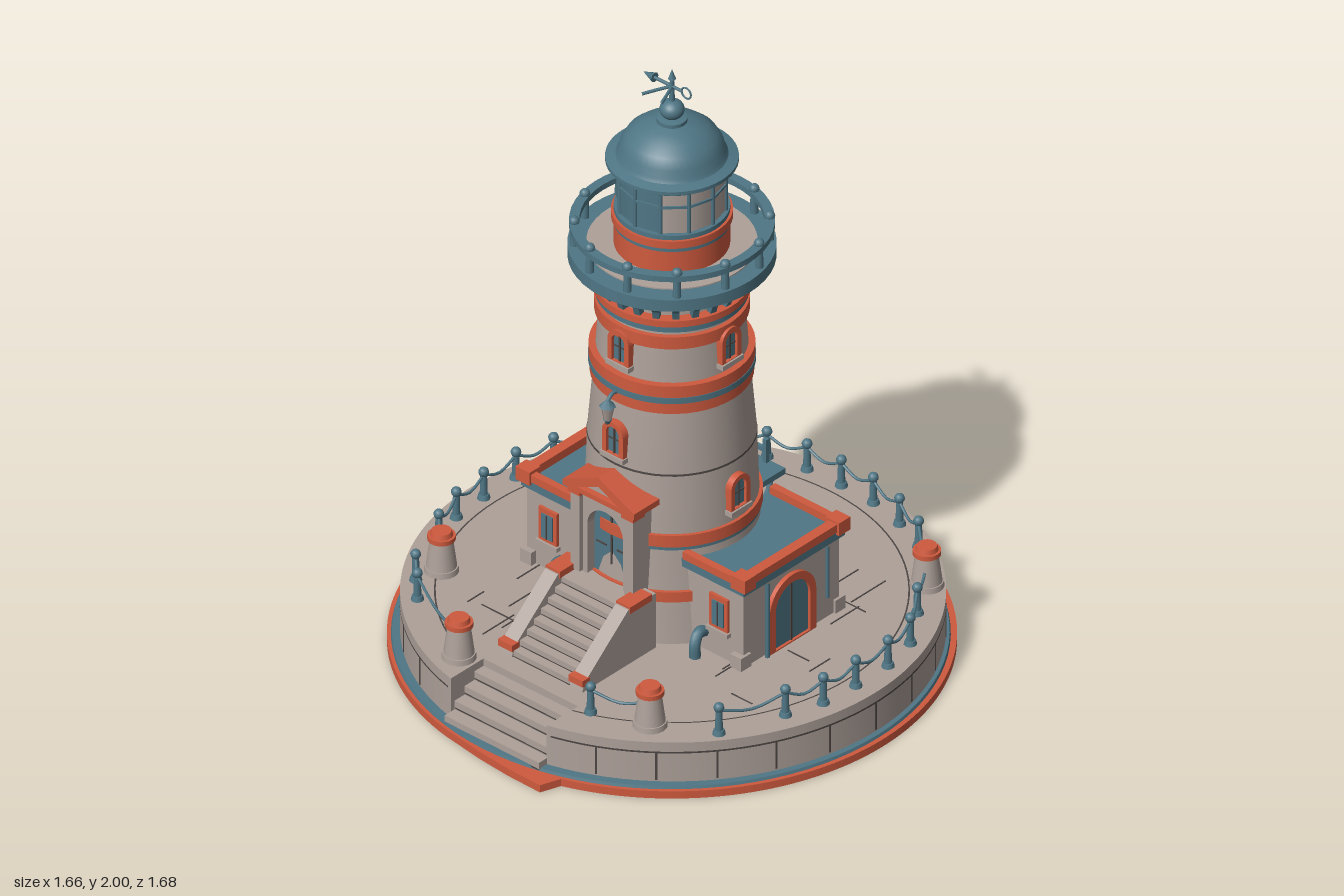
import * as THREE from 'three';
import { toCreasedNormals } from 'three/addons/utils/BufferGeometryUtils.js';

const material = (name, color) => Object.assign(new THREE.MeshStandardMaterial({ color }), { name });

export function createModel() {
  const stone = material('stone', 0xada099), red = material('brick red', 0xcf5a3e);
  const teal = material('teal metal', 0x4f7685), dark = material('dark joint', 0x4c4643);
  const model = new THREE.Group();
  const TAU = Math.PI * 2, FLOOR = 0.17;

  // helpers
  const add = (parent, name, geo, mat, x = 0, y = 0, z = 0) => {
    const m = new THREE.Mesh(geo, mat);
    m.name = name;
    m.position.set(x, y, z);
    parent.add(m);
    return m;
  };
  const group = (parent, name, x = 0, y = 0, z = 0, ry = 0) => {
    const g = new THREE.Group();
    g.name = name;
    g.position.set(x, y, z);
    g.rotation.y = ry;
    parent.add(g);
    return g;
  };
  // box from min to max corners
  const box = (p, name, mat, x0, x1, y0, y1, z0, z1) =>
    add(p, name, new THREE.BoxGeometry(x1 - x0, y1 - y0, z1 - z0), mat, (x0 + x1) / 2, (y0 + y1) / 2, (z0 + z1) / 2);
  const cyl = (p, name, mat, rBottom, rTop, y0, y1, x = 0, z = 0, seg = 48) =>
    add(p, name, new THREE.CylinderGeometry(rTop, rBottom, y1 - y0, seg), mat, x, (y0 + y1) / 2, z);
  const lathe = (p, name, mat, pts, seg = 48) =>
    add(p, name, toCreasedNormals(new THREE.LatheGeometry(pts.map(a => new THREE.Vector2(...a)), seg), 0.6), mat);
  const extrude = (shape, depth) => new THREE.ExtrudeGeometry(shape, { depth, bevelEnabled: false, curveSegments: 12 });
  const poly = pts => new THREE.Shape(pts.map(a => new THREE.Vector2(...a)));
  const tube = (p, name, mat, pts, r, seg = 12) =>
    add(p, name, new THREE.TubeGeometry(new THREE.CatmullRomCurve3(pts.map(a => new THREE.Vector3(...a))), seg, r, 8), mat);
  const slab = (shape, depth) =>
    new THREE.ExtrudeGeometry(shape, { depth, bevelEnabled: false, curveSegments: 80 }).rotateX(-Math.PI / 2);
  const arch = (w, h, y = 0, Type = THREE.Shape) => {
    const s = new Type();
    s.moveTo(-w / 2, y);
    s.lineTo(w / 2, y);
    s.lineTo(w / 2, h - w / 2);
    s.absarc(0, h - w / 2, w / 2, 0, Math.PI, false);
    s.lineTo(-w / 2, y);
    return s;
  };
  // arched opening facing +z, with its wall plane at z = 0
  const archedOpening = (p, name, w, h, frame, depth) => {
    const outer = arch(w + 2 * frame, h + frame);
    outer.holes.push(arch(w, h, 0.004, THREE.Path));
    add(p, name + 'Frame', extrude(outer, depth + 0.03), red, 0, 0, -0.03);
    add(p, name + 'Pane', extrude(arch(w, h), 0.035), teal, 0, 0, -0.03);
    box(p, name + 'Mullion', dark, -0.003, 0.003, 0.004, h - 0.004, 0.004, 0.009);
  };

  // island base
  const foot = new THREE.Shape();
  foot.absarc(0, 0.01, 0.83, -1.235, 4.53, false);
  [[0, -0.828], [0.12, -0.838], [0.25, -0.84]].forEach(a => foot.lineTo(...a));
  add(model, 'redFooting', slab(foot, 0.025), red);
  cyl(model, 'tealPlinth', teal, 0.815, 0.812, 0.025, 0.034, 0, -0.005, 96);
  const platform = new THREE.Shape();
  platform.absarc(0, 0.015, 0.795, -1.317, 4.496, false);
  platform.lineTo(-0.17, -0.62);
  platform.lineTo(0.2, -0.62);
  add(model, 'platform', toCreasedNormals(slab(platform, FLOOR - 0.034), 0.5), stone, 0, 0.034, 0);
  const rim = add(model, 'rimJoint', new THREE.CylinderGeometry(0.797, 0.797, 0.006, 96, 1, true, 0.27, TAU - 0.5), dark, 0, 0.136, -0.015);
  rim.name = 'rimJoint';
  for (let i = 2; i < 27; i++) {
    const g = group(model, 'wallJoint', 0, 0, -0.015, i / 28 * TAU);
    box(g, 'joint', dark, -0.003, 0.003, 0.04, 0.136, 0.79, 0.797);
  }
  add(model, 'pavingRing', new THREE.RingGeometry(0.688, 0.693, 96, 1, -1.27, TAU - 0.56).rotateX(-Math.PI / 2), dark, 0, FLOOR + 0.002, -0.01);

  // paving joints
  let seed = 7;
  const rand = () => (seed = (seed * 16807) % 2147483647) / 2147483647;
  for (let i = 0; i < 44; i++) {
    const a = rand() * TAU, r = 0.34 + rand() * 0.26, l = 0.03 + rand() * 0.05;
    const x = Math.cos(a) * r, z = Math.sin(a) * r - 0.01, along = i % 2;
    if (Math.abs(x) < 0.18 && z > 0.2) continue;
    box(model, 'pavingJoint', dark, x - (along ? l : 0.002), x + (along ? l : 0.002), FLOOR - 0.002, FLOOR + 0.002,
      z - (along ? 0.002 : l), z + (along ? 0.002 : l));
  }

  // lower steps set into the platform
  for (let i = 0; i < 4; i++) {
    const y = 0.145 - i * 0.03, z = 0.66 + i * 0.043;
    box(model, 'lowerStep', stone, -0.17, 0.2, 0.03, y, 0.6, z);
    box(model, 'lowerStepJoint', dark, -0.168, 0.198, y - 0.026, y - 0.022, z - 0.01, z + 0.001);
  }

  // entrance stairs
  for (let i = 0; i < 8; i++) {
    const y = FLOOR + 0.022 * (i + 1), z = 0.555 - i * 0.03;
    box(model, 'stairStep', stone, -0.112, 0.112, FLOOR, y, 0.24, z);
    box(model, 'stairJoint', dark, -0.11, 0.11, y - 0.021, y - 0.018, z - 0.01, z + 0.001);
  }
  const cheek = poly([[-0.24, FLOOR], [-0.24, 0.36], [-0.36, 0.36], [-0.55, 0.2], [-0.56, FLOOR]].reverse());
  for (const s of [-1, 1]) {
    add(model, 'stairCheek', extrude(cheek, 0.05).rotateY(Math.PI / 2), stone, s * 0.138 - 0.025, 0, 0);
    box(model, 'cheekTopCap', red, s * 0.138 - 0.028, s * 0.138 + 0.028, 0.345, 0.368, 0.26, 0.355);
    box(model, 'cheekFootCap', red, s * 0.138 - 0.028, s * 0.138 + 0.028, 0.19, 0.212, 0.53, 0.562);
  }

  // door portal
  const portal = poly([[-0.12, 0.34], [0.12, 0.34], [0.12, 0.65], [-0.12, 0.65]]);
  const portalHole = arch(0.14, 0.59, 0.345, THREE.Path);
  portal.holes.push(portalHole);
  add(model, 'portalWall', extrude(portal, 0.1), stone, 0, 0, 0.18);
  add(model, 'portalDoor', extrude(arch(0.145, 0.592, 0.34), 0.03), teal, 0, 0, 0.22);
  box(model, 'doorSeam', dark, -0.003, 0.003, 0.35, 0.58, 0.25, 0.253);
  for (const s of [-1, 1]) {
    box(model, 'portalPillar', stone, s * 0.105 - 0.018, s * 0.105 + 0.018, 0.35, 0.62, 0.26, 0.295);
    box(model, 'pillarCap', red, s * 0.105 - 0.024, s * 0.105 + 0.024, 0.62, 0.645, 0.25, 0.302);
    box(model, 'doorHinge', dark, s * 0.04 - 0.02, s * 0.04 + 0.02, 0.45, 0.455, 0.25, 0.253);
  }
  const gable = poly([[-0.14, 0.64], [0.14, 0.64], [0.14, 0.66], [0, 0.725], [-0.14, 0.66]]);
  gable.holes.push(new THREE.Path([[-0.08, 0.657], [0, 0.695], [0.08, 0.657]].map(a => new THREE.Vector2(...a))));
  add(model, 'pediment', extrude(gable, 0.11), red, 0, 0, 0.2);
  add(model, 'pedimentPanel', extrude(poly([[-0.1, 0.65], [0.1, 0.65], [0, 0.7]]), 0.09), stone, 0, 0, 0.2);

  // side annexes, mirrored
  for (const s of [-1, 1]) {
    const a = group(model, 'annex');
    const sx = (name, mat, x0, x1, ...r) => box(a, name, mat, Math.min(s * x0, s * x1), Math.max(s * x0, s * x1), ...r);
    sx('annexWall', stone, 0.15, 0.425, FLOOR, 0.44, -0.265, 0.15);
    sx('annexCornice', teal, 0.15, 0.437, 0.43, 0.46, -0.277, 0.162);
    sx('outerParapet', red, 0.408, 0.442, 0.46, 0.488, -0.28, 0.166);
    sx('frontParapet', red, 0.2, 0.442, 0.46, 0.485, 0.142, 0.166);
    sx('backParapet', red, 0.16, 0.442, 0.46, 0.485, -0.28, -0.256);
    for (const z of [-0.262, 0.148]) {
      sx('parapetCorner', red, 0.395, 0.45, 0.45, 0.495, z - 0.024, z + 0.024);
      sx('cornerFoot', stone, 0.39, 0.434, FLOOR, 0.215, z - 0.022, z + 0.022);
    }
    // arched door on the outer wall
    archedOpening(group(a, 'annexDoor', s * 0.425, FLOOR, -0.05, s * Math.PI / 2), 'annexDoor', 0.15, 0.21, 0.026, 0.014);
    // square windows front and back
    for (const [z, ry] of [[0.15, 0], [-0.265, Math.PI]]) {
      const w = group(a, 'annexWindow', s * 0.335, 0, z, ry);
      box(w, 'windowFrame', red, -0.036, 0.036, 0.27, 0.385, -0.01, 0.01);
      box(w, 'windowPane', teal, -0.022, 0.022, 0.285, 0.368, 0.005, 0.014);
      box(w, 'windowBar', dark, -0.002, 0.002, 0.285, 0.368, 0.014, 0.016);
      box(w, 'windowSill', stone, -0.042, 0.042, 0.258, 0.272, -0.01, 0.018);
    }
    // wall lamp post and drain pipes
    tube(a, 'wallPipe', teal, [[s * 0.438, FLOOR, 0.06], [s * 0.438, 0.3, 0.06], [s * 0.438, 0.43, 0.06]], 0.007);
    tube(a, 'wallPipe', teal, [[s * 0.438, 0.25, -0.2], [s * 0.438, 0.35, -0.2], [s * 0.438, 0.43, -0.2]], 0.006);
    tube(a, 'frontPipe', teal, [[s * 0.27, 0.23, 0.14], [s * 0.275, 0.24, 0.18], [s * 0.28, 0.215, 0.2], [s * 0.28, FLOOR, 0.2]], 0.018);
    tube(a, 'backPipe', teal, [[s * 0.14, 0.23, -0.24], [s * 0.145, 0.24, -0.3], [s * 0.15, 0.225, -0.34], [s * 0.15, FLOOR, -0.35]], 0.018);
    cyl(a, 'pipeFlange', teal, 0.027, 0.027, 0.2, 0.215, s * 0.15, -0.345, 16);
  }

  // tower shaft with bands
  const tower = group(model, 'tower', 0, 0, -0.01);
  lathe(tower, 'towerShaft', stone, [[0.278, FLOOR], [0.256, 0.5], [0.248, 0.74], [0.226, 1.0], [0.21, 1.24]]);
  cyl(tower, 'shaftJoint', dark, 0.2495, 0.249, 0.738, 0.744);
  for (const [name, mat, r, y0, y1] of [
    ['lowBand', red, 0.277, 0.315, 0.35], ['waistBand', red, 0.265, 0.5, 0.54], ['waistTrim', teal, 0.262, 0.488, 0.5],
    ['midBandLower', red, 0.24, 0.952, 0.99], ['midBandTrim', teal, 0.245, 0.99, 1.01], ['midBandUpper', red, 0.243, 1.01, 1.05],
    ['upperBand', red, 0.227, 1.17, 1.212], ['neckTrim', teal, 0.225, 1.228, 1.25], ['neckBand', red, 0.232, 1.25, 1.272],
    ['galleryNeck', stone, 0.2, 1.27, 1.36], ['gallerySlab', teal, 0.305, 1.355, 1.395], ['galleryFloor', stone, 0.25, 1.39, 1.399],
    ['lanternDrum', red, 0.17, 1.395, 1.475], ['drumTrim', teal, 0.172, 1.475, 1.49], ['drumCap', red, 0.178, 1.49, 1.515],
    ['lanternSill', teal, 0.17, 1.515, 1.53]]) cyl(tower, name, mat, r, r, y0, y1);

  // arched tower windows: [height, angle, wall radius]
  for (const q of [0, 1, 2, 3]) {
    for (const [y, r] of [[1.085, 0.219], q % 2 ? [0.585, 0.254] : [0.775, 0.243]]) {
      const a = q * Math.PI / 2;
      const w = group(tower, 'towerWindow', Math.sin(a) * r, y, Math.cos(a) * r, a);
      archedOpening(w, 'towerWindow', 0.05, 0.098, 0.016, 0.016);
      box(w, 'towerWindowBar', dark, -0.025, 0.025, 0.05, 0.054, 0.004, 0.008);
      box(w, 'towerWindowSill', stone, -0.045, 0.045, -0.014, 0.002, -0.03, 0.022);
    }
  }

  // gallery brackets and railing
  const bracket = poly([[0.19, 1.27], [0.222, 1.27], [0.232, 1.3], [0.255, 1.33], [0.293, 1.358], [0.19, 1.358]]);
  for (let i = 0; i < 24; i++)
    add(group(tower, 'galleryBracket', 0, 0, 0, i / 24 * TAU), 'bracket', extrude(bracket, 0.02), teal, 0, 0, -0.01);
  for (let i = 0; i < 12; i++) {
    const a = (i + 0.5) / 12 * TAU, x = Math.sin(a) * 0.285, z = Math.cos(a) * 0.285;
    cyl(tower, 'railPost', teal, 0.013, 0.011, 1.39, 1.48, x, z, 10);
    add(tower, 'railKnob', new THREE.SphereGeometry(0.016, 10, 8), teal, x, 1.478, z);
  }
  lathe(tower, 'topRail', teal, [[0.27, 1.455], [0.3, 1.455], [0.3, 1.474], [0.27, 1.474], [0.27, 1.455]]);

  // lantern room
  const N = 12;
  for (let i = 0; i < N; i++) {
    const a = i / N * TAU, mid = a + Math.PI / N;
    add(tower, 'lanternPane', new THREE.CylinderGeometry(0.16, 0.16, 0.155, 1, 1, true, a, TAU / N),
      Math.sin(mid) < 0.3 ? teal : stone, 0, 1.605, 0);
    cyl(tower, 'lanternMullion', teal, 0.006, 0.006, 1.525, 1.685, Math.sin(a) * 0.16, Math.cos(a) * 0.16, 8);
  }
  lathe(tower, 'lanternBar', teal, [[0.15, 1.617], [0.165, 1.617], [0.165, 1.625], [0.15, 1.625]], N);

  // dome and finial
  lathe(tower, 'dome', teal, [[0, 1.67], [0.17, 1.67], [0.178, 1.685], [0.195, 1.688], [0.195, 1.7], [0.165, 1.708], [0.158, 1.72],
    [0.152, 1.745], [0.135, 1.775], [0.105, 1.8], [0.07, 1.815], [0.045, 1.822], [0.045, 1.834], [0.025, 1.838], [0, 1.838]]);
  add(tower, 'domeBall', new THREE.SphereGeometry(0.037, 24, 16).scale(1, 0.85, 1), teal, 0, 1.862, 0);
  cyl(tower, 'spire', teal, 0.009, 0.006, 1.88, 1.975, 0, 0, 8);
  cyl(tower, 'spireTip', teal, 0.012, 0.0005, 1.968, 2, 0, 0, 8);
  tube(tower, 'vaneArm', teal, [[-0.1, 1.942, 0], [0, 1.942, 0], [0.04, 1.942, 0]], 0.005);
  add(tower, 'vaneArrow', new THREE.ConeGeometry(0.016, 0.045, 8).rotateZ(Math.PI / 2), teal, -0.09, 1.942, 0);
  add(tower, 'vaneRing', new THREE.TorusGeometry(0.018, 0.003, 6, 20), teal, 0.056, 1.942, 0);
  for (const s of [-1, 1]) tube(tower, 'vaneCross', teal, [[0, 1.942, 0], [s * 0.02, 1.942, 0.045], [s * 0.038, 1.942, 0.09]], 0.005);

  // hanging lamp above the entrance
  tube(model, 'lampArm', teal, [[0, 0.985, 0.21], [0, 0.992, 0.25], [0, 0.975, 0.27]], 0.006);
  cyl(model, 'lampRoof', teal, 0.026, 0.006, 0.958, 0.978, 0, 0.27, 6);
  cyl(model, 'lampGlass', stone, 0.012, 0.021, 0.912, 0.958, 0, 0.27, 6);
  cyl(model, 'lampFoot', teal, 0.006, 0.014, 0.897, 0.912, 0, 0.27, 6);

  // service shelf on the back of the tower
  box(model, 'backShelf', teal, -0.165, 0.165, 0.5, 0.52, -0.32, -0.22);
  box(model, 'backShelfRail', teal, -0.1, 0.1, 0.555, 0.57, -0.312, -0.3);
  for (const s of [-1, 1]) {
    box(model, 'shelfPost', teal, s * 0.1 - 0.007, s * 0.1 + 0.007, 0.5, 0.6, -0.314, -0.3);
    tube(model, 'shelfBrace', teal, [[s * 0.13, 0.5, -0.305], [s * 0.13, 0.44, -0.28], [s * 0.13, 0.39, -0.24]], 0.008);
  }

  // stone bollards with red caps
  for (const [x, z] of [[-0.53, -0.53], [0.53, -0.53], [-0.57, 0.36], [0.42, 0.55], [-0.23, 0.66]]) {
    cyl(model, 'bollardFoot', stone, 0.052, 0.05, FLOOR, 0.188, x, z, 20);
    cyl(model, 'bollard', stone, 0.046, 0.034, 0.188, 0.28, x, z, 20);
    cyl(model, 'bollardCap', red, 0.042, 0.042, 0.28, 0.295, x, z, 20);
    cyl(model, 'bollardTop', red, 0.034, 0.03, 0.295, 0.31, x, z, 20);
  }

  // chain posts and sagging chains
  const back = [[0, -0.745], [0.13, -0.74], [0.26, -0.71], [0.38, -0.66], [0.53, -0.53], [0.61, -0.4], [0.7, -0.27],
    [0.73, -0.14], [0.73, 0], [0.72, 0.13], [0.68, 0.25]];
  const runs = [back, back.map(([x, z]) => [-x, z]), [[0.6, 0.45], [0.68, 0.25]], [[0.42, 0.55], [0.25, 0.62]],
    [[-0.68, 0.25], [-0.57, 0.36]], [[-0.59, 0.45], [-0.52, 0.52], [-0.23, 0.66]]];
  const posts = new Map();
  for (const run of runs) run.forEach(([x, z], i) => {
    if (Math.abs(x) !== 0.53 && x !== -0.57 && x !== 0.42 && x !== -0.23) posts.set(x + ',' + z, [x, z]);
    if (!i) return;
    const [px, pz] = run[i - 1];
    tube(model, 'chain', teal, [[px, 0.25, pz], [(px + x) / 2, 0.225, (pz + z) / 2], [x, 0.25, z]], 0.0045, 8);
  });
  for (const [x, z] of posts.values()) {
    cyl(model, 'postFoot', teal, 0.02, 0.016, FLOOR, 0.185, x, z, 10);
    cyl(model, 'chainPost', teal, 0.012, 0.01, 0.185, 0.26, x, z, 10);
    add(model, 'postBall', new THREE.SphereGeometry(0.016, 10, 8), teal, x, 0.262, z);
  }
  return model;
}
